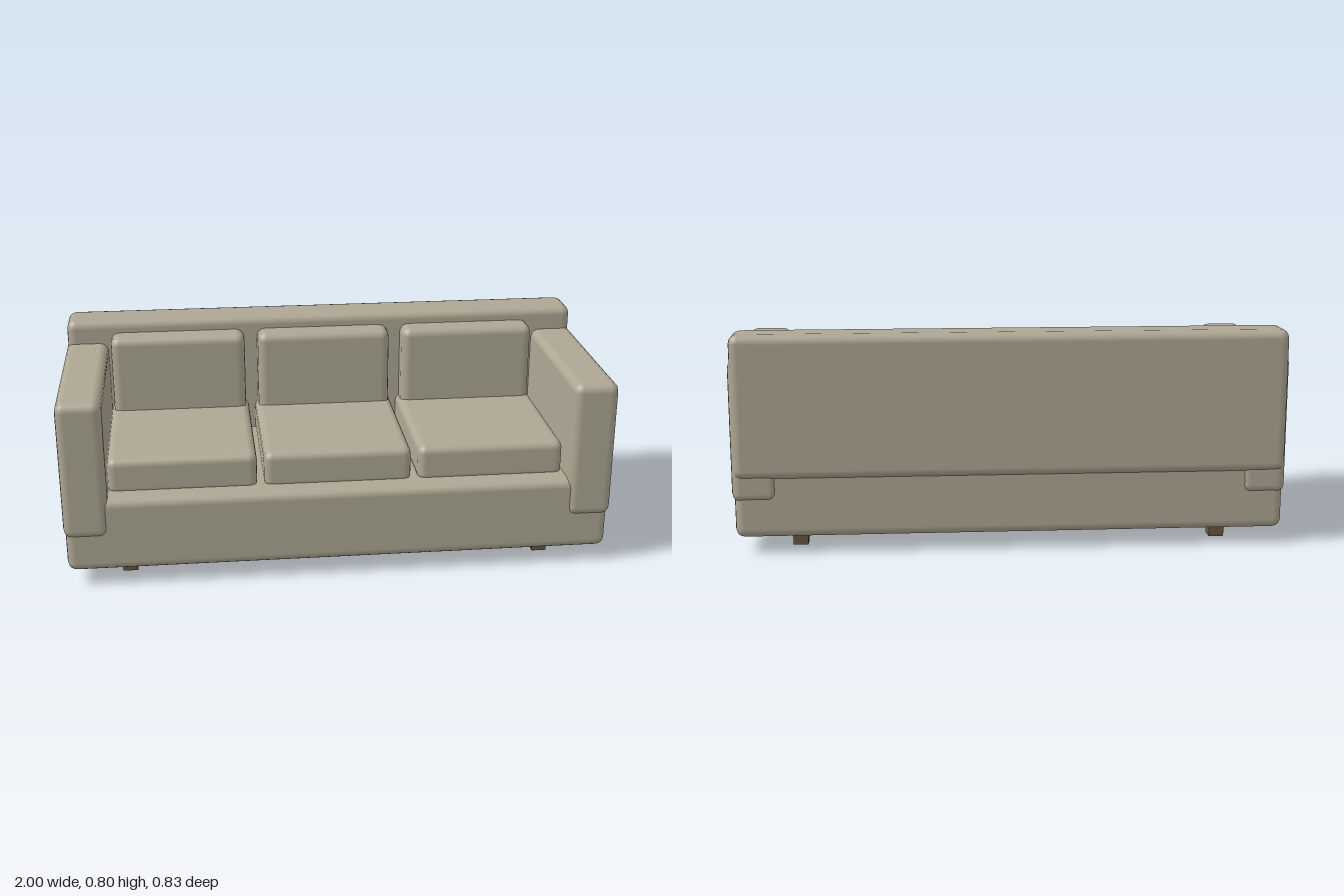
import * as THREE from 'three';
import { RoundedBoxGeometry } from 'three/addons/geometries/RoundedBoxGeometry.js';

export function createModel() {
  const sofa = new THREE.Group();
  sofa.name = 'sofa';

  const fabric = new THREE.MeshStandardMaterial({ color: 0xaea793 });
  fabric.name = 'beige fabric';
  const wood = new THREE.MeshStandardMaterial({ color: 0x655740 });
  wood.name = 'dark wood';

  // Adds a softly rounded block given its extents on each axis
  function pad(name, [x0, x1], [y0, y1], [z0, z1], radius) {
    const geometry = new RoundedBoxGeometry(x1 - x0, y1 - y0, z1 - z0, 2, radius);
    const mesh = new THREE.Mesh(geometry, fabric);
    mesh.position.set((x0 + x1) / 2, (y0 + y1) / 2, (z0 + z1) / 2);
    mesh.name = name;
    sofa.add(mesh);
  }

  // Frame: base and backrest
  pad('base', [-0.994, 0.992], [0.058, 0.335], [-0.395, 0.407], 0.033);
  pad('backrest', [-0.994, 0.992], [0.276, 0.795], [-0.415, -0.25], 0.033);

  // Armrests
  pad('rightArm', [-1, -0.838], [0.191, 0.706], [-0.403, 0.417], 0.033);
  pad('leftArm', [0.836, 1], [0.191, 0.706], [-0.403, 0.417], 0.033);

  // Three seat cushions, each with a back cushion behind it
  for (let i = -1; i <= 1; i++) {
    const x = -0.004 + i * 0.565;
    pad('seatCushion', [x - 0.27, x + 0.27], [0.315, 0.455], [-0.29, 0.326], 0.03);
    pad('backCushion', [x - 0.257, x + 0.257], [0.41, 0.747], [-0.32, -0.168], 0.033);
  }

  // Square wooden feet
  const footGeometry = new THREE.BoxGeometry(0.055, 0.08, 0.056);
  for (const x of [-0.775, 0.769]) {
    for (const z of [-0.26, 0.272]) {
      const foot = new THREE.Mesh(footGeometry, wood);
      foot.position.set(x, 0.04, z);
      foot.name = 'foot';
      sofa.add(foot);
    }
  }
  return sofa;
}
